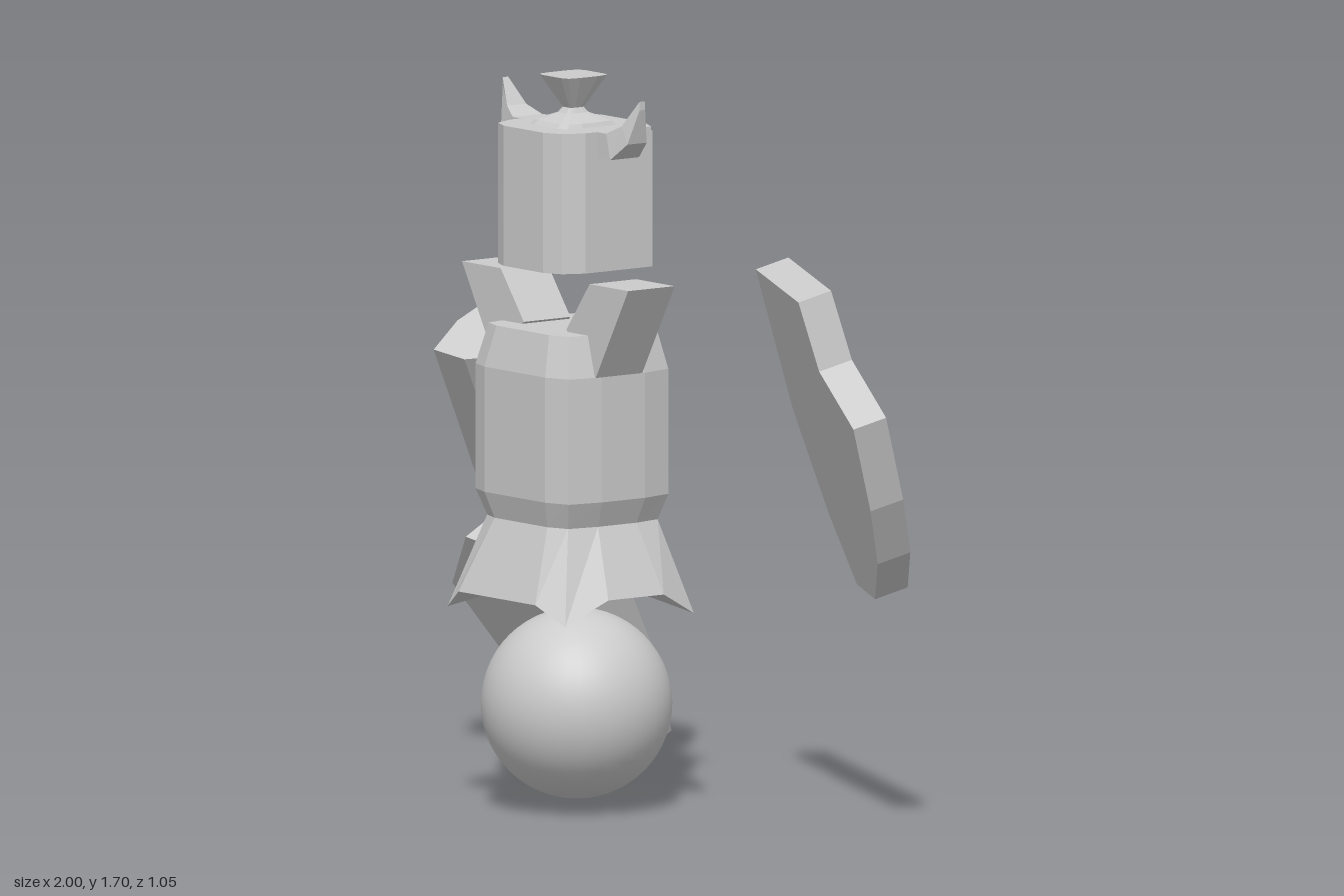
import * as THREE from 'three';

const flat = new THREE.MeshStandardMaterial({ color: 0xcccccc, flatShading: true, side: THREE.DoubleSide });
const smooth = new THREE.MeshStandardMaterial({ color: 0xcccccc });

function add(parent, name, geometry, material = flat) {
  const mesh = new THREE.Mesh(geometry, material);
  mesh.name = name;
  parent.add(mesh);
  return mesh;
}

// Skin a stack of rings (bottom to top) and cap both ends
function loft(rings, baseY) {
  const pos = [], n = rings[0].length;
  const tri = (...pts) => pts.forEach(p => pos.push(...p));
  const centre = r => [0, 1, 2].map(k => r.reduce((s, p) => s + p[k], 0) / n);
  const top = rings[rings.length - 1], topC = centre(top), baseC = centre(rings[0]);
  if (baseY !== undefined) baseC[1] = baseY;
  for (let i = 0; i < n; i++) {
    const j = (i + 1) % n;
    for (let r = 0; r < rings.length - 1; r++) {
      const lo = rings[r], hi = rings[r + 1];
      tri(lo[i], hi[i], lo[j], lo[j], hi[i], hi[j]);
    }
    tri(baseC, rings[0][i], rings[0][j]);
    tri(topC, top[j], top[i]);
  }
  const g = new THREE.BufferGeometry();
  g.setAttribute('position', new THREE.Float32BufferAttribute(pos, 3));
  g.computeVertexNormals();
  return g;
}

// Twelve-sided soft rectangle with a rounder back; y holds heights at side, corner and front
function section(hx, hz, y, back = [[1, -0.3], [0.9, -0.76], [0.4, -0.98]]) {
  const q = [[1, 0.4], [0.92, 0.88], [0.6, 1]];
  const ys = Array.isArray(y) ? y : [y, y, y];
  const ring = [];
  [[1, q], [-1, q], [-1, back], [1, back]].forEach(([sx, pts], k) => {
    for (const i of k % 2 ? [2, 1, 0] : [0, 1, 2]) ring.push([sx * pts[i][0] * hx, ys[i], pts[i][1] * hz]);
  });
  return ring;
}

function extrude(points, depth) {
  const shape = new THREE.Shape(points.map(p => new THREE.Vector2(...p)));
  return new THREE.ExtrudeGeometry(shape, { depth, bevelEnabled: false });
}

// Tilted plate: outline on a sloping back plane, thickened along an offset
function plate(points, plane, offset, thin = () => 1) {
  const g = extrude(points, 1), p = g.attributes.position;
  for (let i = 0; i < p.count; i++) {
    const x = p.getX(i), y = p.getY(i), s = p.getZ(i) * thin(y);
    p.setXYZ(i, x + s * offset[0], y + s * offset[1], plane(x, y) + s * offset[2]);
  }
  g.computeVertexNormals();
  return g;
}

export function createModel() {
  const model = new THREE.Group();

  // Rolling base
  add(model, 'baseBall', new THREE.SphereGeometry(0.22, 40, 28), smooth).position.set(0.052, 0.248, 0.29);

  // Torso with flared, hollow skirt
  const body = new THREE.Group();
  body.name = 'body';
  body.position.set(0.053, 0, 0.292);
  model.add(body);
  add(body, 'torso', loft([
    section(0.24, 0.23, [0.52, 0.465, 0.51]),
    section(0.165, 0.16, 0.68),
    section(0.19, 0.178, 0.74),
    section(0.19, 0.178, 1.03),
    section(0.165, 0.155, 1.125),
  ], 0.56));

  // Raised shoulder pads
  for (const s of [1, -1]) {
    const pad = extrude([[0.312, 1.245], [0.167, 1.245], [0.08, 1.13], [0.19, 1.03]].map(([x, y]) => [s * x, y]), 0.135);
    add(body, s > 0 ? 'leftShoulder' : 'rightShoulder', pad).position.z = -0.045;
  }

  // Helmet: wall open at the back
  const helmet = new THREE.Group();
  helmet.name = 'helmet';
  helmet.position.set(0.046, 0, 0.31);
  model.add(helmet);
  const half = [[0.105, -0.135], [0.143, -0.135], [0.143, 0.06], [0.12, 0.11], [0.075, 0.13]];
  const inner = [[0.07, 0.095], [0.105, 0.06]];
  const mirror = pts => pts.map(([x, z]) => [-x, z]).reverse();
  const wall = extrude([...half, ...mirror(half), ...mirror(inner), ...inner].map(([x, z]) => [x, -z]), 0.315);
  add(helmet, 'helmetWall', wall.rotateX(-Math.PI / 2)).position.y = 1.265;

  // Roof with a chamfered rear lip
  const rim = half.slice(2);
  const roof = (back, y) => [...rim, ...mirror(rim), [-0.143, -0.13], [-0.08, back], [0.08, back], [0.143, -0.13]]
    .map(([x, z]) => [x, y, z]);
  add(helmet, 'helmetRoof', loft([roof(-0.13, 1.55), roof(-0.16, 1.565), roof(-0.16, 1.59)]));

  // Crest: low pyramid and a flared plume
  const even = [[1, -0.4], [0.92, -0.88], [0.6, -1]];
  const crest = loft([[0.075, 0.08, 1.59], [0.07, 0.07, 1.6], [0.025, 0.03, 1.618], [0.018, 0.02, 1.63], [0.06, 0.063, 1.705]]
    .map(r => section(...r, even)));
  add(helmet, 'crest', crest).position.z = -0.015;

  // Curved horns, tapering to the tip
  for (const s of [1, -1]) {
    const horn = [[0.12, 1.53, 1.59, 0.043], [0.19, 1.53, 1.59, 0.042], [0.237, 1.57, 1.61, 0.028], [0.257, 1.65, 1.67, 0.008]]
      .map(([x, lo, hi, hz], i) => {
        const inX = i === 1 ? x - 0.015 : i === 2 ? x - 0.022 : x;
        const ring = [[x, lo, -hz], [x, lo, hz], [inX, hi, hz], [inX, hi, -hz]].map(([px, y, z]) => [s * px, y, z]);
        return s > 0 ? ring.reverse() : ring;
      });
    add(helmet, s > 0 ? 'leftHorn' : 'rightHorn', loft(horn)).position.z = -0.017;
  }

  // Floating shield with a notched outer corner
  add(model, 'shield', plate(
    [[0.46, 1.3], [0.475, 0.97], [0.565, 0.73], [0.66, 0.58], [0.795, 0.565], [0.905, 0.665], [0.965, 0.8], [1, 1], [0.815, 1.11], [0.785, 1.27]],
    (x, y) => 0.118 + 0.42 * (x - 0.785) + 0.31 * (y - 1.27),
    [-0.032, -0.025, 0.07]));

  // Floating cuff with one flat side, shaft and broad blade
  const arm = new THREE.Group();
  arm.name = 'bladeArm';
  model.add(arm);
  const cuffTop = [[-0.325, 0.12], [-0.335, 0.215], [-0.405, 0.262], [-0.5, 0.278], [-0.525, 0.19], [-0.51, 0.09], [-0.45, 0.055], [-0.365, 0.06]]
    .map(([x, z]) => [x, 1.05 - 0.24 * (x + 0.43) - 0.58 * (z - 0.17), z]);
  const cuffBase = cuffTop.map(([x, y, z]) => [x - 0.08, y - 0.315, z - 0.185]);
  add(arm, 'cuff', loft([cuffBase, cuffTop]));

  const low = new THREE.Vector3(-0.6, 0.42, -0.215), high = new THREE.Vector3(-0.5, 0.76, 0.015);
  const shaft = add(arm, 'shaft', new THREE.CylinderGeometry(0.05, 0.05, low.distanceTo(high), 6));
  shaft.position.lerpVectors(low, high, 0.5);
  shaft.quaternion.setFromUnitVectors(new THREE.Vector3(0, 1, 0), high.clone().sub(low).normalize());

  add(arm, 'blade', plate(
    [[-0.83, 0.56], [-0.98, 0.43], [-0.93, 0.25], [-0.8, 0.12], [-0.65, 0.035], [-0.55, 0.23], [-0.5, 0.42], [-0.49, 0.49]],
    (x, y) => -0.56 + 0.66 * y - 0.06 * (x + 0.5),
    [-0.02, -0.06, 0.085],
    y => Math.min(1, 0.45 + 2.5 * y)));

  return model;
}
